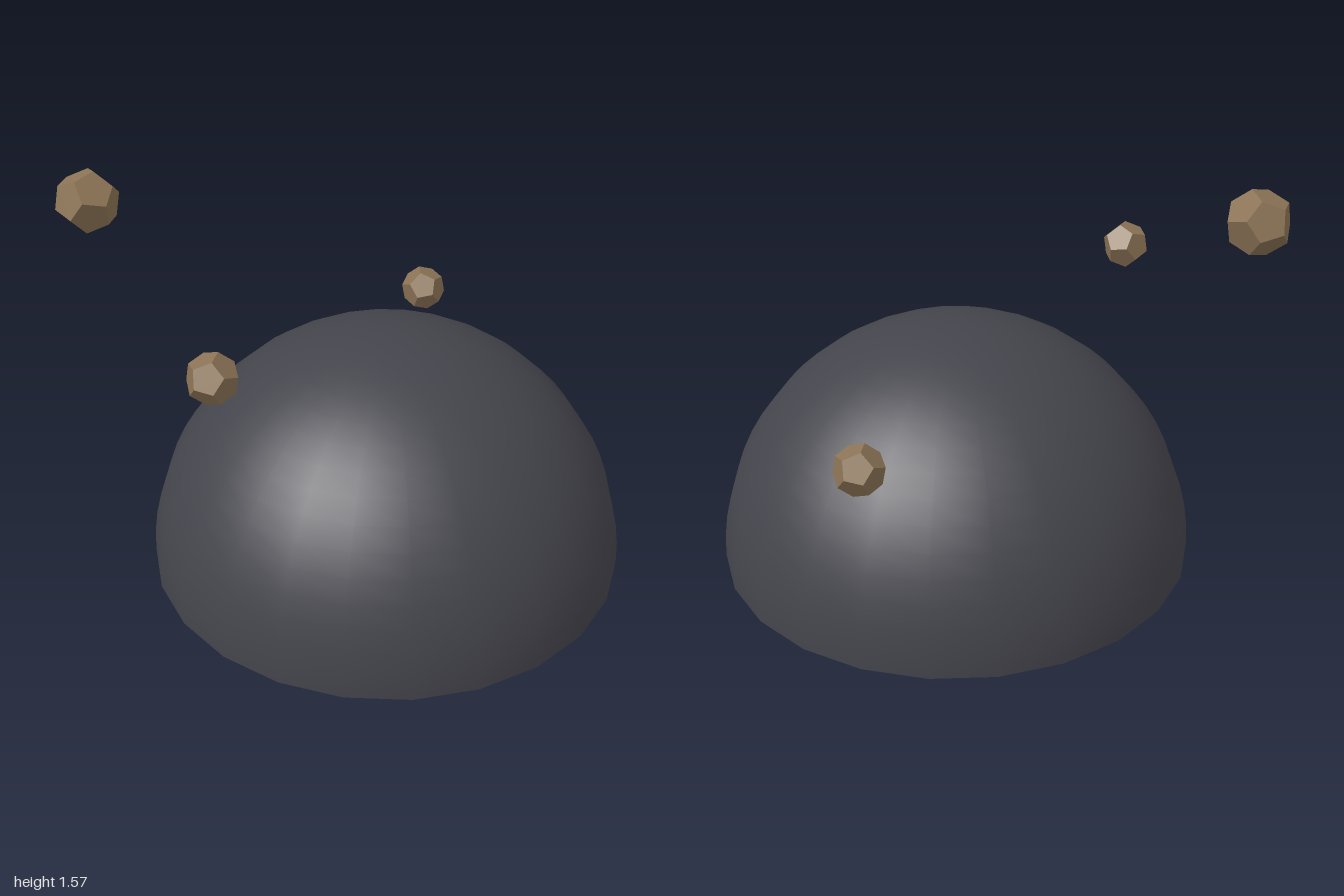
import * as THREE from 'three';

const CENTRE_X = 0.125; // axis of the dome

function paint(color, extra = {}) {
  return new THREE.MeshStandardMaterial({ color, ...extra });
}

export function createModel() {
  const model = new THREE.Group();
  const add = (name, geometry, material, x, y, z) => {
    const mesh = new THREE.Mesh(geometry, material);
    mesh.name = name;
    mesh.position.set(x, y, z);
    model.add(mesh);
    return mesh;
  };

  // Open hemispherical shell
  add('dome',
    new THREE.SphereGeometry(0.872, 24, 16, 0, Math.PI * 2, 0, Math.PI / 2),
    paint(0x44444c, { side: THREE.DoubleSide }), CENTRE_X, 0.105, 0);

  // Six tilted plates in a circle under the dome
  const plateGeometry = new THREE.BoxGeometry(0.32, 0.03, 0.22);
  const plateMaterial = paint(0x666a70);
  const tilt = 0.6;
  for (let i = 0; i < 6; i++) {
    const a = (i * Math.PI) / 3;
    const plate = add('plate', plateGeometry, plateMaterial,
      CENTRE_X + 0.52 * Math.cos(a), 0.137, 0.52 * Math.sin(a));
    plate.rotation.set(-tilt * Math.sin(a), -a, tilt * Math.cos(a));
  }

  // Flat nine-sided ring facing down
  const ring = add('glowRing', new THREE.RingGeometry(0.335, 0.392, 9),
    paint(0x8b3a1a, { side: THREE.DoubleSide }), CENTRE_X, 0.044, 0);
  ring.rotation.x = Math.PI / 2;

  // Floating rocks: radius, position, rotation
  const rockMaterial = paint(0x8b7355, { flatShading: true });
  const rocks = [
    [0.112, [-0.893, 1.452, 0.09], [0, 0, -0.65]],
    [0.087, [-0.33, 1.125, 0.62], [0.5, 0.4, 0.2]],
    [0.087, [0.15, 0.795, -0.765], [0.3, 0.8, 0.5]],
    [0.065, [-0.18, 0.4, -0.45], [0.7, 0.2, 0.4]],
  ];
  for (const [radius, position, rotation] of rocks) {
    add('rock', new THREE.DodecahedronGeometry(radius), rockMaterial, ...position)
      .rotation.set(...rotation);
  }

  return model;
}
